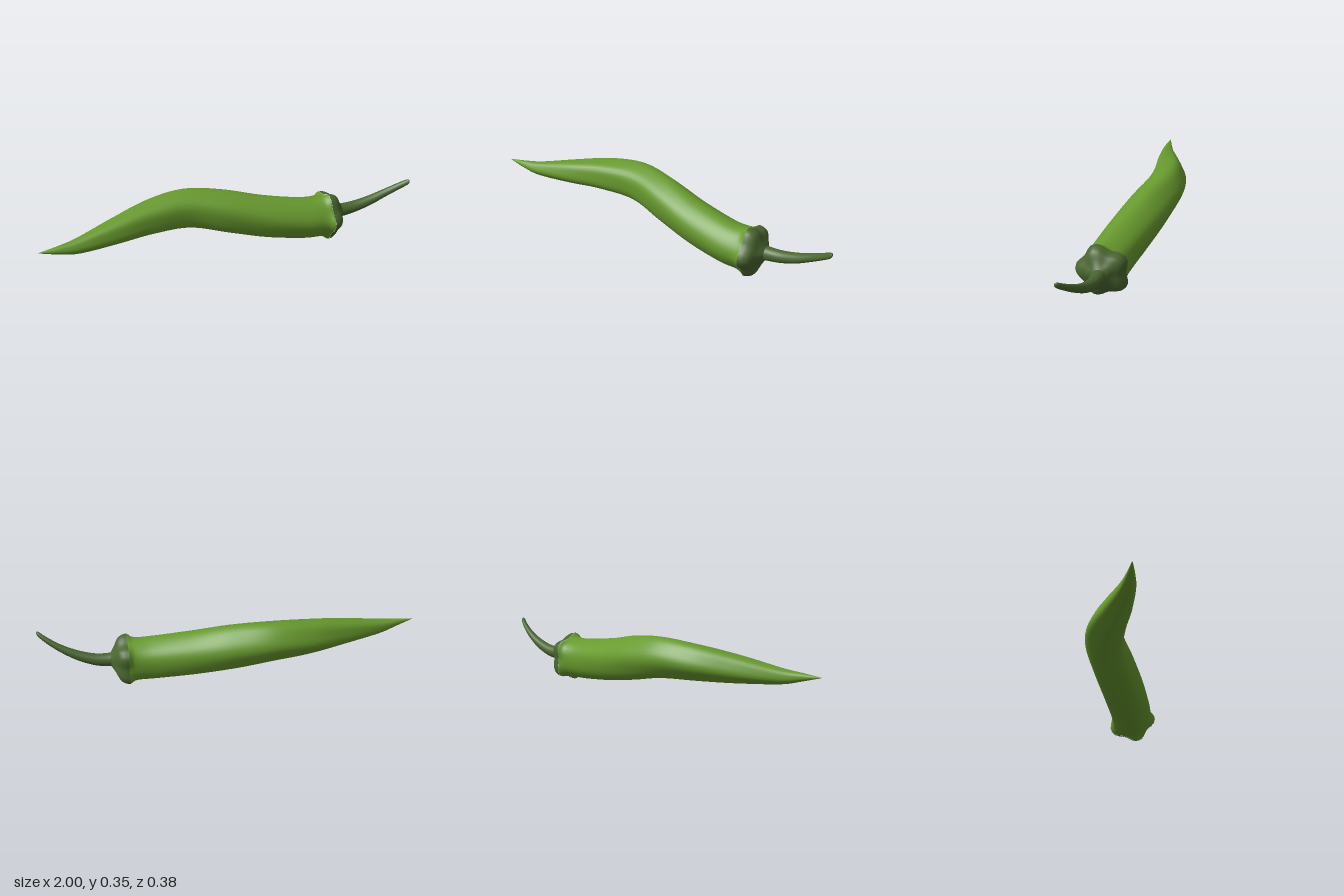
import * as THREE from 'three';

const SIDES = 40;

// Skin cross-sections along x. Row: [x, centre y, centre z, half height, half depth, lobe depth].
// Five lobes run along the skin and turn slowly by `twist` radians per unit of x.
function loft(name, rows, material, steps = 6, twist = 0) {
  const centres = new THREE.CatmullRomCurve3(rows.map(r => new THREE.Vector3(r[0], r[1], r[2])), false, 'catmullrom');
  const sizes = new THREE.CatmullRomCurve3(rows.map(r => new THREE.Vector3(r[3], r[4], r[5])), false, 'catmullrom');
  const rings = (rows.length - 1) * steps;
  const positions = [], index = [];
  for (let i = 0; i <= rings; i++) {
    const c = centres.getPoint(i / rings), s = sizes.getPoint(i / rings);
    for (let j = 0; j < SIDES; j++) {
      const a = j / SIDES * Math.PI * 2;
      const lobe = 1 + s.z * Math.cos(5 * (a + twist * (c.x - 0.54)));
      positions.push(c.x, c.y + Math.max(s.x, 0) * lobe * Math.sin(a), c.z + Math.max(s.y, 0) * lobe * Math.cos(a));
      if (i < rings) {
        const p = i * SIDES + j, q = i * SIDES + (j + 1) % SIDES;
        index.push(p, p + SIDES, q, q, p + SIDES, q + SIDES);
      }
    }
  }
  const geometry = new THREE.BufferGeometry();
  geometry.setAttribute('position', new THREE.Float32BufferAttribute(positions, 3));
  geometry.setIndex(index);
  geometry.computeVertexNormals();
  const mesh = new THREE.Mesh(geometry, material);
  mesh.name = name;
  return mesh;
}

export function createModel() {
  const skinGreen = new THREE.MeshStandardMaterial({ color: 0x689a2e });
  skinGreen.name = 'skin green';
  const stemGreen = new THREE.MeshStandardMaterial({ color: 0x4a6630 });
  stemGreen.name = 'stem green';

  const group = new THREE.Group();
  group.name = 'chilliPepper';

  // Curved fruit, from pointed tip to the flared shoulder
  group.add(loft('fruit', [
    [-1.0, 0.235, 0.045, 0.001, 0.001, 0],
    [-0.9, 0.225, 0.037, 0.021, 0.022, 0.02],
    [-0.8, 0.219, 0.021, 0.039, 0.041, 0.03],
    [-0.6, 0.233, -0.025, 0.067, 0.070, 0.04],
    [-0.4, 0.248, -0.073, 0.088, 0.091, 0.04],
    [-0.2, 0.250, -0.088, 0.103, 0.100, 0.03],
    [0.0, 0.215, -0.048, 0.115, 0.112, 0.03],
    [0.2, 0.171, 0.000, 0.114, 0.115, 0.02],
    [0.4, 0.140, 0.037, 0.111, 0.112, 0.02],
    [0.5, 0.134, 0.045, 0.111, 0.112, 0.03],
    [0.54, 0.133, 0.047, 0.124, 0.124, 0.1],
  ], skinGreen, 8, 0.8));

  // Five-lobed cap closing down to the stem
  group.add(loft('calyx', [
    [0.54, 0.133, 0.047, 0.1255, 0.1255, 0.1],
    [0.565, 0.134, 0.047, 0.120, 0.120, 0.1],
    [0.59, 0.136, 0.047, 0.103, 0.103, 0.1],
    [0.61, 0.139, 0.046, 0.066, 0.066, 0.08],
    [0.63, 0.142, 0.046, 0.036, 0.036, 0],
  ], stemGreen, 4));

  // Tapering stem that bends up and forward
  group.add(loft('stem', [
    [0.61, 0.142, 0.046, 0.038, 0.038, 0],
    [0.66, 0.143, 0.046, 0.034, 0.034, 0],
    [0.72, 0.151, 0.049, 0.031, 0.031, 0],
    [0.80, 0.176, 0.060, 0.027, 0.027, 0],
    [0.88, 0.214, 0.076, 0.022, 0.021, 0],
    [0.95, 0.256, 0.101, 0.018, 0.017, 0],
    [0.99, 0.284, 0.122, 0.014, 0.013, 0],
    [1.0, 0.290, 0.126, 0, 0, 0],
  ], stemGreen, 5));

  return group;
}
